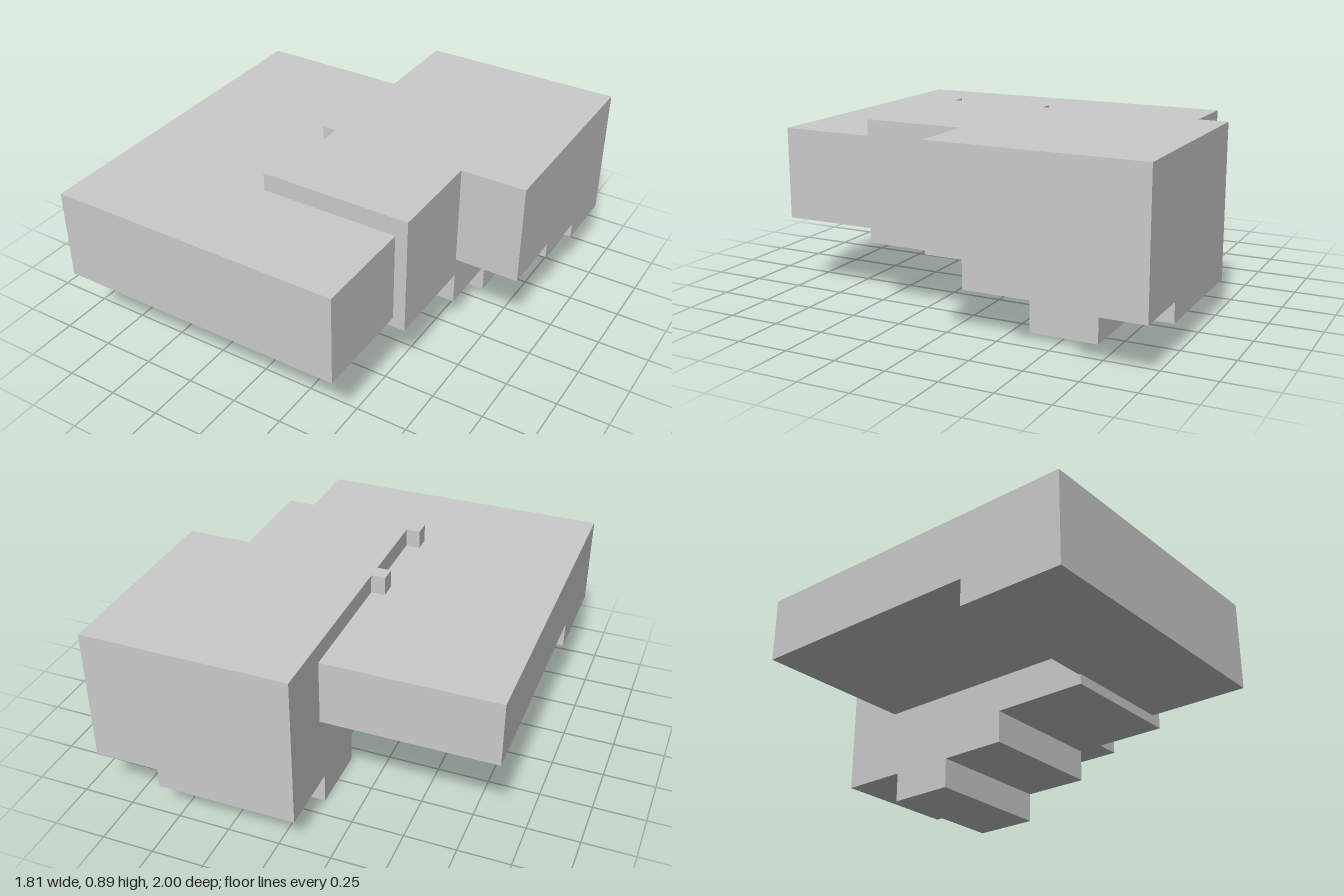
import * as THREE from 'three';

const material = new THREE.MeshStandardMaterial({ color: 0xcccccc, flatShading: true });

// Extrudes a side profile of [z, y] corners across x0..x1
function prism(name, profile, x0, x1) {
  const shape = new THREE.Shape(profile.map(([z, y]) => new THREE.Vector2(z, y)));
  const geometry = new THREE.ExtrudeGeometry(shape, { depth: x1 - x0, bevelEnabled: false });
  geometry.rotateY(-Math.PI / 2).translate(x1, 0, 0);
  const mesh = new THREE.Mesh(geometry, material);
  mesh.name = name;
  return mesh;
}

export function createModel() {
  const model = new THREE.Group();
  model.name = 'interlockingBlocks';
  const top = 0.895;

  // Wide slab, thicker along its front
  model.add(prism('slab', [
    [1, 0.36], [1, 0.805], [-0.7, 0.805], [-0.7, 0.49], [0.485, 0.49], [0.485, 0.36],
  ], -0.905, 0.53));

  // Main block with a stepped underside and a central foot
  model.add(prism('mainBlock', [
    [0.495, 0.31], [0.495, top], [-1, top], [-1, 0.15], [-0.66, 0.15],
    [-0.66, 0], [-0.33, 0], [-0.33, 0.15], [0.01, 0.15], [0.01, 0.31],
  ], -0.08, 0.59));

  // Side block whose underside steps down toward the back
  model.add(prism('sideBlock', [
    [0.01, 0.4], [0.01, top], [-1, top], [-1, 0.245], [-0.66, 0.245],
    [-0.66, 0.325], [-0.33, 0.325], [-0.33, 0.4],
  ], 0.59, 0.905));

  // Two small tabs rising out of the slab beside the main block
  for (const [name, z0, z1] of [['backTab', -0.075, 0.005], ['frontTab', 0.415, 0.495]]) {
    model.add(prism(name, [[z1, 0.6], [z1, top], [z0, top], [z0, 0.6]], -0.148, -0.08));
  }
  return model;
}
